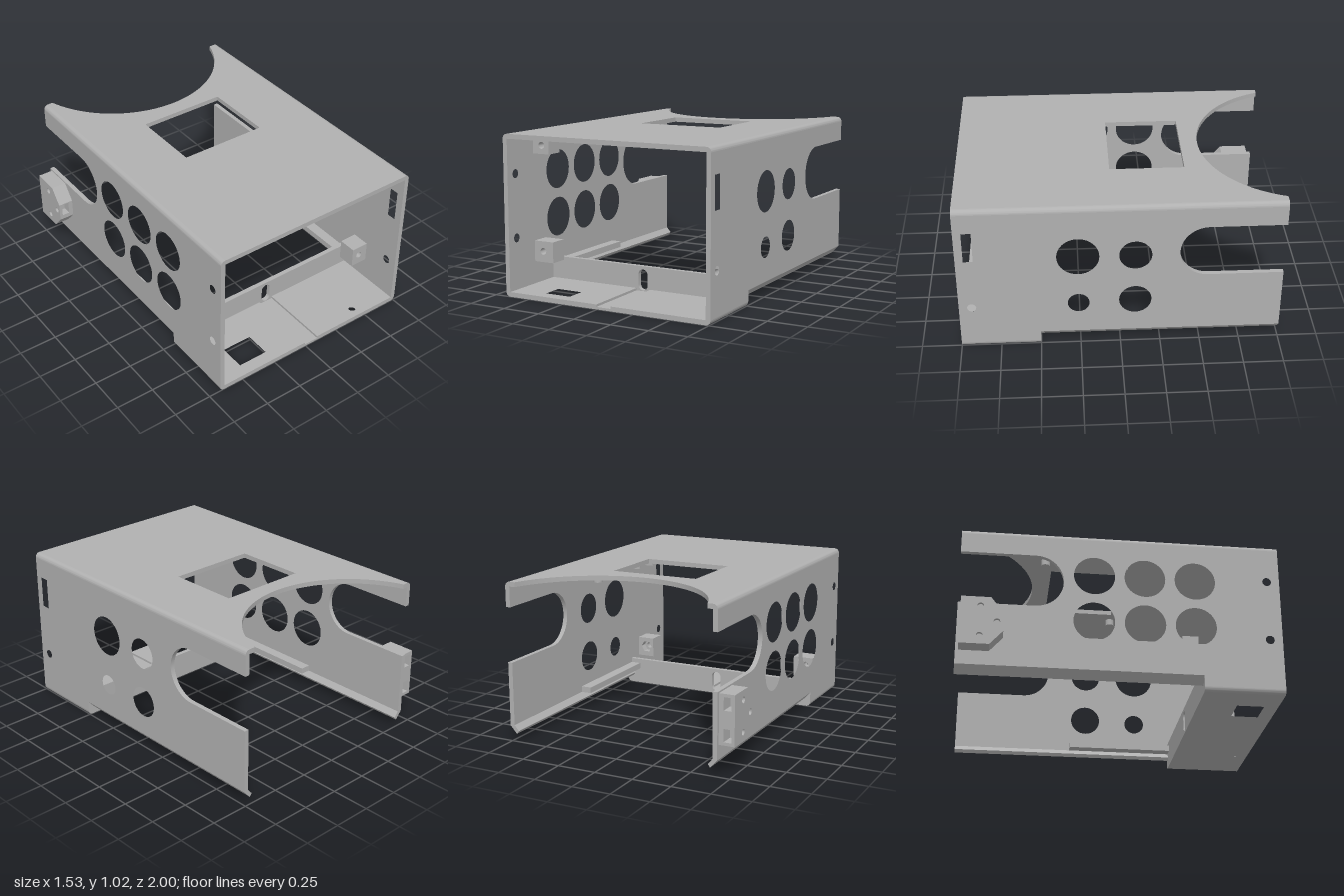
import * as THREE from 'three';
import { toCreasedNormals } from 'three/addons/utils/BufferGeometryUtils.js';

const T = 0.03; // wall thickness

// outline helpers: all return arrays of [a, b]
const rect = (a0, a1, b0, b1) => [[a0, b0], [a1, b0], [a1, b1], [a0, b1]];
function arc(a, b, r, from, to, n) {
  const pts = [];
  for (let i = 0; i <= n; i++) {
    const t = from + ((to - from) * i) / n;
    pts.push([a + r * Math.cos(t), b + r * Math.sin(t)]);
  }
  return pts;
}
const circle = (a, b, r, n = 40) => arc(a, b, r, 0, Math.PI * 2 * (1 - 1 / n), n - 1);

export function createModel() {
  const model = new THREE.Group();
  model.name = 'equipmentCase';
  const grey = new THREE.MeshStandardMaterial({ color: 0xb0b0b0 });
  grey.name = 'grey';

  // Flat part with holes. Outlines are (x,y) for axis z, (z,y) for axis x, (x,z) for axis y.
  function plate(name, axis, from, to, outline, holes = []) {
    const flip = ([a, b]) => new THREE.Vector2(axis === 'x' ? -a : a, axis === 'y' ? -b : b);
    const shape = new THREE.Shape(outline.map(flip));
    shape.holes = holes.map((h) => new THREE.Path(h.map(flip)));
    let geo = new THREE.ExtrudeGeometry(shape, { depth: to - from, bevelEnabled: false });
    geo.translate(0, 0, from);
    if (axis === 'x') geo.rotateY(Math.PI / 2);
    if (axis === 'y') geo.rotateX(-Math.PI / 2);
    geo = toCreasedNormals(geo, 0.5);
    const mesh = new THREE.Mesh(geo, grey);
    mesh.name = name;
    model.add(mesh);
  }

  // x at distance d inward from the outer face of a side wall
  const inX = (side, d) => (side > 0 ? 0.76 - d : -0.67 + d);
  const span = (side, d0, d1) => [inX(side, d0), inX(side, d1)].sort((p, q) => p - q);

  // top panel with curved back cutout and window
  const a0 = Math.asin(0.204 / 0.679);
  plate('topPanel', 'y', 0.99, 1.02,
    [[-0.64, 1], [0.73, 1], [0.73, -1], ...arc(0.043, -1.204, 0.679, a0, Math.PI - a0, 48), [-0.64, -1]],
    [rect(-0.245, 0.335, -0.415, 0.05)]);

  // side walls with a round-ended slot open at the back
  const wall = [[1, 0.03], [1, 0.99], [-1, 0.99], [-1, 0.86],
    ...arc(-0.535, 0.685, 0.175, Math.PI / 2, -Math.PI / 2, 32),
    [-1, 0.51], [-1, 0.1], [0.5, 0.1], [0.5, 0.03]];
  plate('leftWall', 'x', 0.73, 0.76, wall, [
    circle(0.26, 0.67, 0.13), circle(-0.09, 0.67, 0.1), circle(0.26, 0.32, 0.067),
    circle(-0.09, 0.335, 0.1), circle(0.92, 0.305, 0.028, 24), rect(0.89, 0.95, 0.655, 0.86)]);
  const vents = [];
  for (const z of [-0.17, 0.145, 0.46]) for (const y of [0.425, 0.74]) vents.push(circle(z, y, 0.128));
  plate('rightWall', 'x', -0.67, -0.64, wall,
    [...vents, circle(0.92, 0.765, 0.028, 24), circle(0.92, 0.36, 0.028, 24)]);

  for (const s of [1, -1]) {
    const x = inX(s, T);
    // rounded long edges
    const out = s > 0 ? 0 : Math.PI;
    plate('topEdge', 'z', -1, 1, [[x, 0.99], ...arc(x, 0.99, T, out, Math.PI / 2, 8)]);
    plate('floorEdge', 'z', 0.5, 1, [[x, T], ...arc(x, T, T, s > 0 ? 0 : -Math.PI, -Math.PI / 2, 8)]);
    // bottom flange slanting inward
    plate('flange', 'z', -1, 0.52,
      [[0, 0.1], [0.045, 0.05], [0.06, 0.07], [T, 0.105]].map(([d, y]) => [inX(s, d), y]));
    // inner guide rail
    const [r0, r1] = span(s, T, 0.1);
    plate('guideRail', 'z', -0.2, 0.5, rect(r0, r1, 0.105, 0.145));
    // corner screw blocks with a hexagonal nut pocket behind
    for (const top of [true, false]) {
      const d = top || s > 0 ? 0.15 : 0.17;
      const [b0, b1] = span(s, T, d);
      const block = top ? rect(b0, b1, s > 0 ? 0.855 : 0.87, 0.99) : rect(b0, b1, 0.175, 0.31);
      const cx = inX(s, 0.095), cy = top ? 0.925 : 0.245;
      plate('screwBlockFront', 'z', 0.66, 0.73, block, [circle(cx, cy, 0.022, 24)]);
      plate('screwBlockNutPocket', 'z', 0.61, 0.66, block, [circle(cx, cy, 0.042, 6)]);
    }
  }

  // front floor: base layer and two raised halves with a groove between
  const floorWindow = rect(-0.46, -0.25, 0.74, 0.92);
  const floorHole = circle(0.45, 0.93, 0.025, 24);
  plate('floorBase', 'y', 0, 0.015, rect(-0.64, 0.73, 0.5, 1), [floorWindow, floorHole]);
  plate('floorRight', 'y', 0.015, T, rect(-0.64, -0.005, 0.5, 1), [floorWindow]);
  plate('floorLeft', 'y', 0.015, T, rect(0.095, 0.73, 0.5, 1), [floorHole]);

  // low partition with a rounded cable slot
  plate('partition', 'z', 0.5, 0.53, rect(-0.64, 0.73, 0.015, 0.175), [[
    ...arc(0.043, 0.122, 0.033, 0, Math.PI, 12), ...arc(0.043, 0.053, 0.033, Math.PI, Math.PI * 2, 12)]]);

  // hollow posts under the top panel
  for (const x of [-0.385, 0.428]) for (const z of [-0.46, 0.05])
    plate('mountingPost', 'y', 0.948, 0.99, circle(x, z, 0.028, 24), [circle(x, z, 0.013, 16)]);

  // side bracket in three layers: bored outer plate, notched core, inner plate
  const front = [[-0.8, 0.5], [-0.72, 0.4], [-0.72, 0.28], [-0.8, 0.19]];
  const bracket = [[-0.98, 0.19], [-0.98, 0.5], ...front];
  const notch = (y0, y1) => [[-0.98, y0], [-0.89, y0], [-0.89, y1], [-0.98, y1]];
  const bores = [circle(-0.86, 0.245, 0.02, 20), circle(-0.86, 0.44, 0.02, 20), circle(-0.76, 0.34, 0.02, 20)];
  plate('bracketOuter', 'x', -0.77, -0.75, bracket, bores);
  plate('bracketCore', 'x', -0.75, -0.7,
    [[-0.98, 0.19], ...notch(0.21, 0.29), ...notch(0.4, 0.48), [-0.98, 0.5],
      front[0], front[1], [-0.72, 0.395], [-0.78, 0.395], [-0.78, 0.31], [-0.72, 0.31], front[2], front[3]]);
  plate('bracketInner', 'x', -0.7, -0.67, bracket);

  return model;
}
